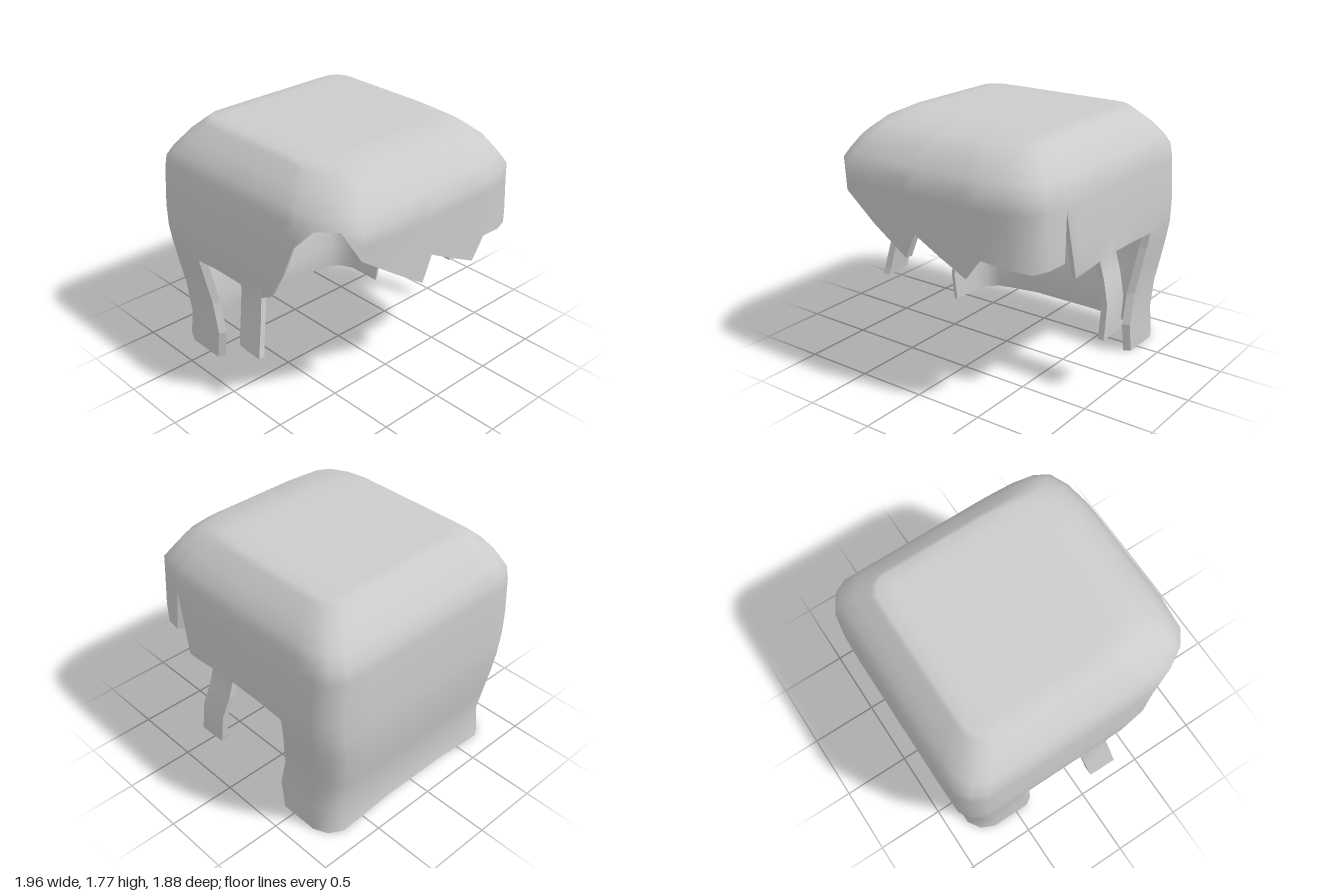
import * as THREE from 'three';
import { mergeVertices } from 'three/addons/utils/BufferGeometryUtils.js';

// Vertical profile: height, half width, front z, back z
const PROFILE = [
  [1.77, 0.63, 0.48, -0.68], [1.74, 0.67, 0.69, -0.71], [1.65, 0.77, 0.82, -0.80],
  [1.56, 0.84, 0.88, -0.87], [1.48, 0.88, 0.94, -0.92], [1.38, 0.89, 0.935, -0.935],
  [1.1, 0.91, 0.935, -0.935], [0.93, 0.905, 0.935, -0.935], [0.8, 0.885, 0.935, -0.93],
  [0.64, 0.86, 0.965, -0.91], [0.45, 0.83, 0.985, -0.88], [0.22, 0.83, 1.035, -0.83],
  [0, 0.83, 1.0, -0.86],
];
const LEVELS = PROFILE.map((p) => p[0]);
const THICK = 0.05;

// Columns around the head: plan x, plan z, lower edge height, optional flare [start, slope]
const BACK = [
  [0.32, -0.935, 0.04], [0.58, -0.935, 0.02], [0.76, -0.93, 0.005], [0.86, -0.87, 0],
  [0.91, -0.77, 0], [0.91, -0.62, 0], [0.91, -0.48, 0],
];
const OUT = [0.93, 0.3], OUT2 = [0.81, 0.21];
const LEFT = [
  [0.91, -0.48, 0.91], [0.91, -0.25, 0.925], [0.91, 0, 0.93],
  // left side lock
  [0.91, 0, 0.41, OUT], [0.91, 0.1, 0.405, OUT], [0.91, 0.21, 0.4, OUT],
  // cheek edge with a sharp notch
  [0.91, 0.21, 0.92], [0.91, 0.35, 0.905], [0.905, 0.48, 0.89], [0.9, 0.58, 1.37],
  [0.895, 0.61, 1.035], [0.87, 0.74, 1.02],
];
const FRINGE = [
  [0.81, 0.84, 1.01], [0.67, 0.9, 1.03], [0.48, 0.93, 1.06], [0.37, 0.935, 0.91],
  [0.16, 0.935, 1.01], [-0.05, 0.935, 1.12], [-0.13, 0.935, 0.94], [-0.4, 0.935, 1.12],
  [-0.67, 0.91, 1.3], [-0.79, 0.84, 1.5], [-0.87, 0.68, 1.48],
];
const RIGHT = [
  [-0.9, 0.54, 1.32], [-0.91, 0.47, 1.12], [-0.91, 0.32, 0.88], [-0.91, 0.21, 0.82],
  // right side lock
  [-0.91, 0.21, 0.4, OUT2], [-0.91, 0.1, 0.4, OUT2], [-0.91, 0, 0.41, OUT2],
  [-0.91, 0, 0.83], [-0.91, -0.25, 0.83], [-0.91, -0.48, 0.81],
];
const COLUMNS = [
  [0, -0.935, 0.04], ...BACK, ...LEFT, ...FRINGE, ...RIGHT,
  ...BACK.map(([x, z, b]) => [-x, z, b]).reverse(),
];

function profileAt(y) {
  let i = 0;
  while (i < PROFILE.length - 2 && PROFILE[i + 1][0] > y) i++;
  const a = PROFILE[i], b = PROFILE[i + 1];
  const t = THREE.MathUtils.clamp((a[0] - y) / (a[0] - b[0]), 0, 1);
  return a.map((v, k) => v + (b[k] - v) * t);
}

// Point of a column at height y; inset gives the inner wall, s shrinks rings on the crown
function point([px, pz, , flare], y, inset, s = 1) {
  let [, w, front, back] = profileAt(y);
  if (flare && y < flare[0]) {
    w = profileAt(flare[0])[1] + Math.min(0.085, (flare[0] - y) * flare[1]);
  }
  w -= inset; front -= inset; back += inset;
  const mid = (front + back) / 2;
  const drop = inset * THREE.MathUtils.smoothstep(y, 1.4, 1.77);
  return [(px / 0.91) * w * s, y - drop, mid + (pz / 0.935) * ((front - back) / 2) * s];
}

const samePlace = (a, b) => a[0] === b[0] && a[1] === b[1];

function makeGeometry(positions, index) {
  const g = new THREE.BufferGeometry();
  g.setAttribute('position', new THREE.Float32BufferAttribute(positions, 3));
  g.setIndex(index);
  return g;
}

// Wall: rings on the flat crown, then rows clamped to each column's lower edge
function wall(inset) {
  const rings = [0, 0.5, 0.85].map((s) => [1.77, s]).concat(LEVELS.map((y) => [y, 1]));
  const n = rings.length, positions = [], index = [];
  for (const c of COLUMNS) {
    for (const [y, s] of rings) positions.push(...point(c, Math.max(y, c[2]), inset, s));
  }
  COLUMNS.forEach((c, i) => {
    const j = (i + 1) % COLUMNS.length;
    if (samePlace(c, COLUMNS[j])) return;
    for (let k = 0; k < n - 1; k++) {
      const a = i * n + k, b = j * n + k;
      if (inset) index.push(a, b + 1, b, a, a + 1, b + 1);
      else index.push(a, b, b + 1, a, b + 1, a + 1);
    }
  });
  const g = mergeVertices(makeGeometry(positions, index), 1e-4);
  g.computeVertexNormals();
  return g;
}

// Rim: strip joining both walls along the jagged lower edge
function rim() {
  const path = [];
  COLUMNS.forEach((c, i) => {
    const next = COLUMNS[(i + 1) % COLUMNS.length];
    path.push([c, c[2]]);
    if (!samePlace(c, next)) return;
    const rising = next[2] > c[2];
    const low = rising ? c : next, high = rising ? next : c;
    const steps = LEVELS.filter((y) => y > low[2] && y < high[2]);
    if (rising) steps.reverse();
    steps.forEach((y) => path.push([low, y]));
  });
  const positions = [], index = [];
  path.forEach(([c, y], i) => {
    positions.push(...point(c, y, 0), ...point(c, y, THICK));
    const a = i * 2, b = ((i + 1) % path.length) * 2;
    index.push(a, b, b + 1, a, b + 1, a + 1);
  });
  const g = makeGeometry(positions, index).toNonIndexed();
  g.computeVertexNormals();
  return g;
}

export function createModel() {
  const group = new THREE.Group();
  group.name = 'hair';
  const material = new THREE.MeshStandardMaterial({ color: 0xcccccc });
  const parts = { outerHair: wall(0), innerHair: wall(THICK), hairEdge: rim() };
  for (const [name, geometry] of Object.entries(parts)) {
    const mesh = new THREE.Mesh(geometry, material);
    mesh.name = name;
    group.add(mesh);
  }
  return group;
}
